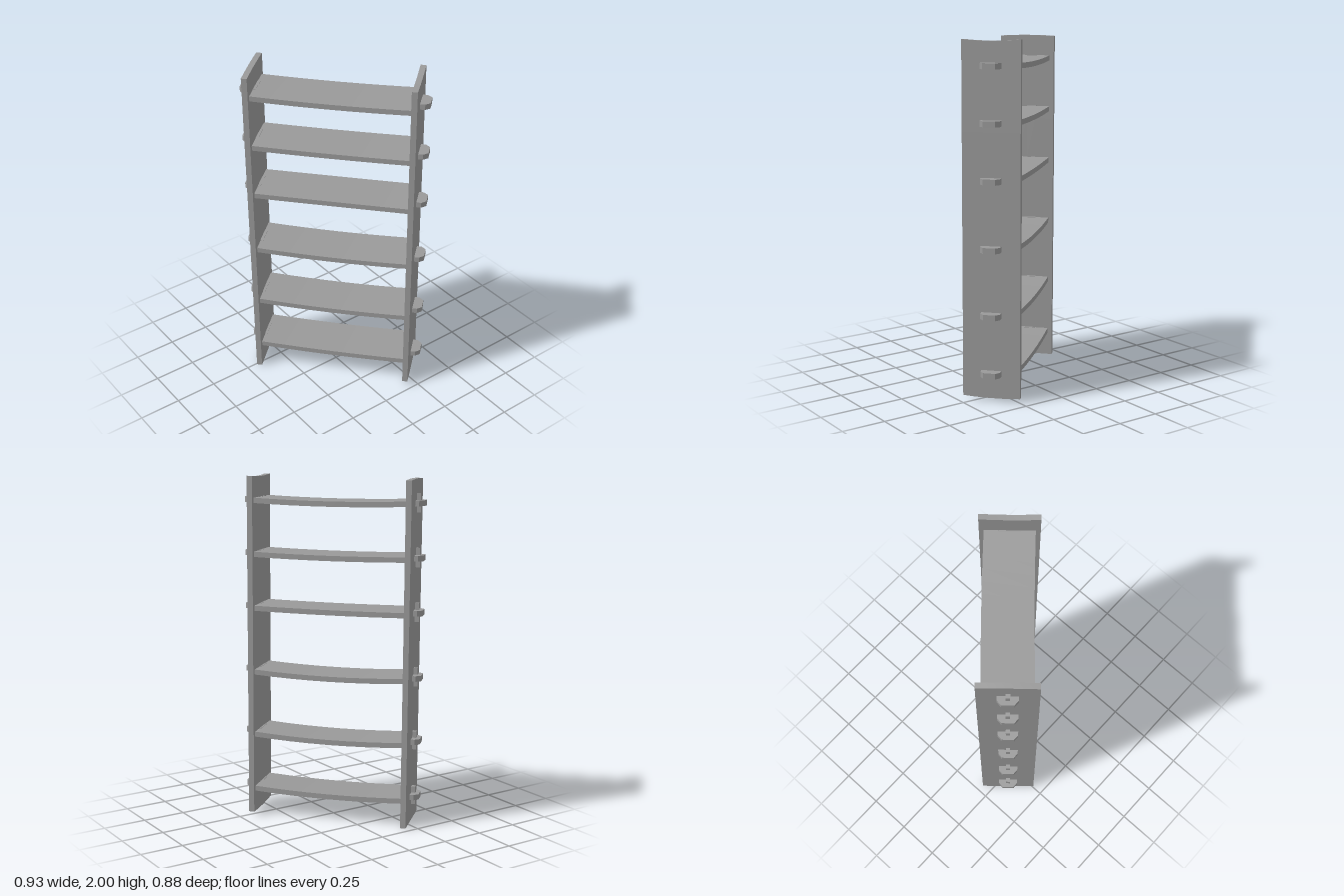
import * as THREE from 'three';

const LEAN = -0.013; // sideways lean over the full height
const leanAt = (y) => LEAN * (y / 2 - 0.5);

// Move every vertex by a rule and refresh the normals
function warp(geometry, rule) {
  const p = geometry.attributes.position;
  const v = new THREE.Vector3();
  for (let i = 0; i < p.count; i++) {
    v.fromBufferAttribute(p, i);
    rule(v);
    p.setXYZ(i, v.x, v.y, v.z);
  }
  geometry.computeVertexNormals();
  return geometry;
}

// Leaning side plank with a slightly bowed top edge
function sidePlank(x, y0, y1, topBow, bottomBow) {
  const g = new THREE.BoxGeometry(0.032, y1 - y0, 0.326, 1, 8, 6);
  g.translate(x, (y0 + y1) / 2, 0);
  return warp(g, (v) => {
    const bow = 1 - (v.z / 0.163) ** 2;
    const t = (v.y - y0) / (y1 - y0);
    v.x += leanAt(v.y);
    if (t > 0.99) v.y += topBow * bow;
    if (t < 0.01) v.y += bottomBow * bow;
  });
}

// Worn board that sags in the middle
function shelfBoard(sag) {
  const g = new THREE.BoxGeometry(0.89, 0.03, 0.274, 8, 1, 1);
  return warp(g, (v) => {
    const mid = 1 - (v.x / 0.445) ** 2;
    v.y += 0.0035 * (v.x / 0.445) - sag * mid;
    v.z -= 0.005 * mid;
  });
}

// Tenon with cut corners, pointing to +x
function tenonGeometry() {
  const s = new THREE.Shape();
  s.moveTo(0.43, -0.058);
  s.lineTo(0.5, -0.056);
  s.lineTo(0.526, -0.034);
  s.lineTo(0.526, 0.034);
  s.lineTo(0.5, 0.056);
  s.lineTo(0.43, 0.058);
  s.closePath();
  const g = new THREE.ExtrudeGeometry(s, { depth: 0.032, bevelEnabled: false });
  g.translate(0, 0, -0.016);
  g.rotateX(-Math.PI / 2);
  return g;
}

export function createModel() {
  const model = new THREE.Group();
  model.name = 'shelf';
  const wood = new THREE.MeshStandardMaterial({ color: 0x999999 });
  wood.name = 'grey wood';

  const add = (parent, name, geometry, x = 0, y = 0, z = 0) => {
    const mesh = new THREE.Mesh(geometry, wood);
    mesh.name = name;
    mesh.position.set(x, y, z);
    parent.add(mesh);
    return mesh;
  };

  // The whole shelf stands turned about the vertical axis
  const frame = new THREE.Group();
  frame.name = 'frame';
  frame.rotation.y = 0.727;
  model.add(frame);

  add(frame, 'rightPlank', sidePlank(-0.462, 0, 1.985, 0.005, 0));
  add(frame, 'leftPlank', sidePlank(0.454, 0.022, 2.0, -0.008, -0.006));

  // Boards: height and sag
  const boards = [
    [0.157, 0.012], [0.489, 0.015], [0.863, 0.014],
    [1.239, 0.004], [1.551, 0.007], [1.858, 0.01],
  ];
  const tenon = tenonGeometry();
  const peg = warp(new THREE.BoxGeometry(0.024, 0.108, 0.024), (v) => {
    if (v.y < 0) v.z *= 0.85;
  });
  boards.forEach(([y, sag], i) => {
    const shelf = new THREE.Group();
    shelf.name = `shelfLevel${i + 1}`;
    shelf.position.set(leanAt(y), y, 0);
    frame.add(shelf);
    add(shelf, 'board', shelfBoard(sag));
    add(shelf, 'leftTenon', tenon, -0.002, 0.003);
    add(shelf, 'rightTenon', tenon, 0, -0.003).rotation.y = Math.PI;
    // Locking peg through the right tenon
    add(shelf, 'peg', peg, -0.49, -0.003);
  });
  return model;
}
